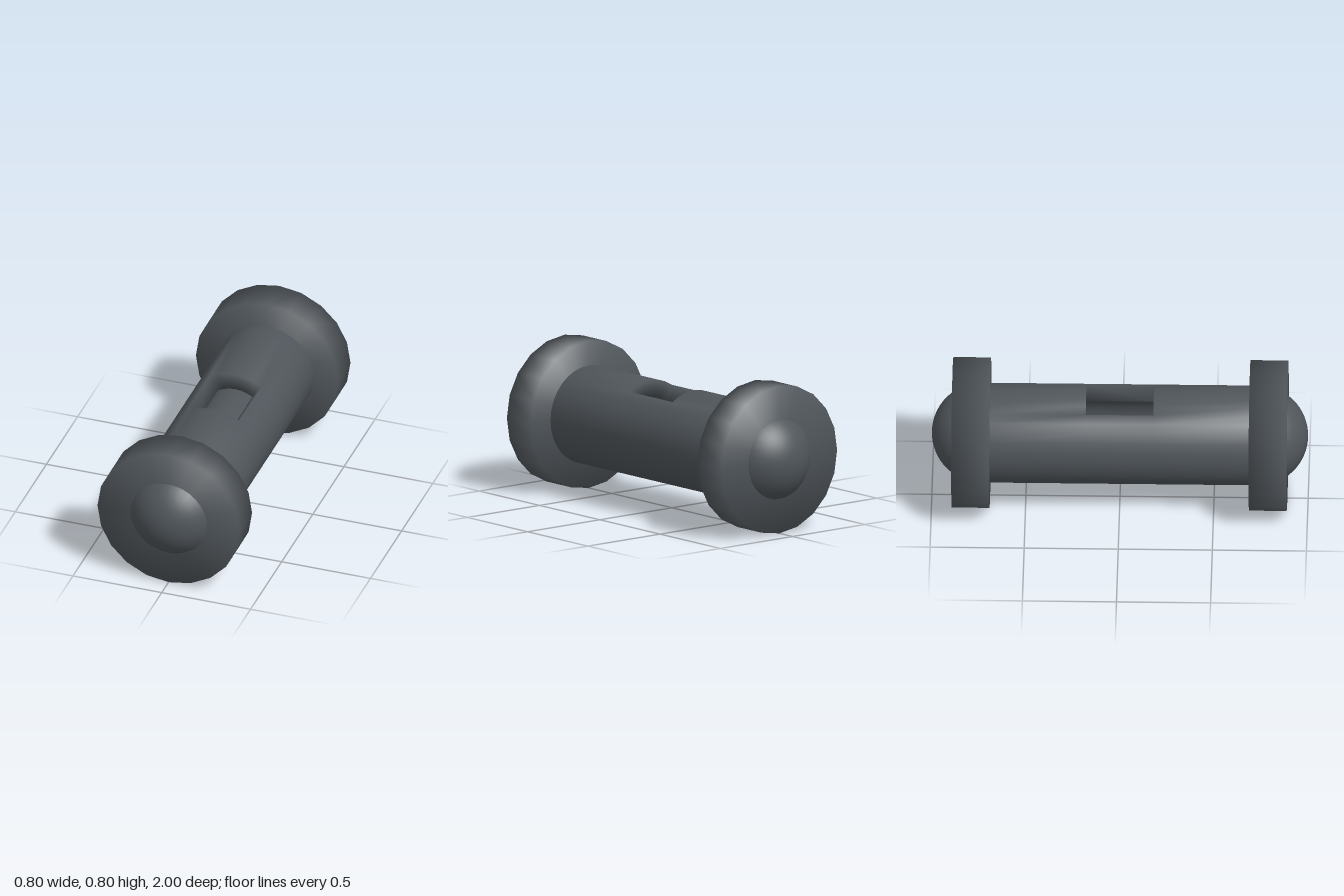
import * as THREE from 'three';
import { mergeVertices } from 'three/addons/utils/BufferGeometryUtils.js';

const AXIS_Y = 0.4;

// Weld all corners so shading runs smoothly around every edge.
function soften(geometry) {
  geometry.deleteAttribute('normal');
  geometry.deleteAttribute('uv');
  const welded = mergeVertices(geometry, 1e-4);
  welded.computeVertexNormals();
  return welded;
}

// Thick-walled tube along z with a window cut through the top.
function tubeGeometry(outer, inner, zs, sides, halfWindow) {
  const positions = [];
  const point = (r, s, z) => {
    const a = (s / sides) * Math.PI * 2;
    return [r * Math.sin(a), r * Math.cos(a), z];
  };
  const quad = (a, b, c, d) => positions.push(...a, ...b, ...c, ...a, ...c, ...d);
  const inWindow = (s) => s < halfWindow || s >= sides - halfWindow;

  for (let s = 0; s < sides; s++) {
    const t = (s + 1) % sides;
    for (let k = 0; k < zs.length - 1; k++) {
      if (k === 1 && inWindow(s)) continue;
      const [z0, z1] = [zs[k], zs[k + 1]];
      quad(point(outer, s, z0), point(outer, s, z1), point(outer, t, z1), point(outer, t, z0));
      quad(point(inner, s, z0), point(inner, t, z0), point(inner, t, z1), point(inner, s, z1));
    }
    // End faces of the tube, and of the window where it is cut
    const front = (z) => quad(point(outer, s, z), point(inner, s, z), point(inner, t, z), point(outer, t, z));
    const back = (z) => quad(point(outer, s, z), point(outer, t, z), point(inner, t, z), point(inner, s, z));
    back(zs[0]);
    front(zs[3]);
    if (inWindow(s)) {
      front(zs[1]);
      back(zs[2]);
    }
  }
  // Long side walls of the window
  const [z0, z1] = [zs[1], zs[2]];
  const r = halfWindow, l = sides - halfWindow;
  quad(point(outer, r, z0), point(inner, r, z0), point(inner, r, z1), point(outer, r, z1));
  quad(point(outer, l, z0), point(outer, l, z1), point(inner, l, z1), point(inner, l, z0));

  const geometry = new THREE.BufferGeometry();
  geometry.setAttribute('position', new THREE.Float32BufferAttribute(positions, 3));
  const welded = mergeVertices(geometry, 1e-4);
  welded.computeVertexNormals();
  return welded;
}

export function createModel() {
  const model = new THREE.Group();
  model.name = 'windowedTube';
  const darkGrey = new THREE.MeshStandardMaterial({ color: 0x50565b });
  darkGrey.name = 'darkGrey';

  const add = (geometry, name, z = 0) => {
    const mesh = new THREE.Mesh(geometry, darkGrey);
    mesh.name = name;
    mesh.position.set(0, AXIS_Y, z);
    model.add(mesh);
    return mesh;
  };

  // Body
  add(tubeGeometry(0.265, 0.175, [-0.7, -0.18, 0.18, 0.7], 32, 3), 'tube');

  // Twenty-sided end flange, shared by both ends
  const flange = soften(new THREE.CylinderGeometry(0.4, 0.4, 0.2, 20).rotateX(Math.PI / 2));

  // Shallow dome: the part of a sphere that stands out of the flange
  const dome = new THREE.SphereGeometry(0.265, 32, 10, 0, Math.PI * 2, 0, 1.0).rotateX(Math.PI / 2);

  for (const [side, name] of [[1, 'front'], [-1, 'back']]) {
    add(flange, name + 'Flange', side * 0.79);
    const cap = add(dome, name + 'Dome', side * 0.735);
    if (side < 0) cap.rotation.y = Math.PI;
  }
  return model;
}
